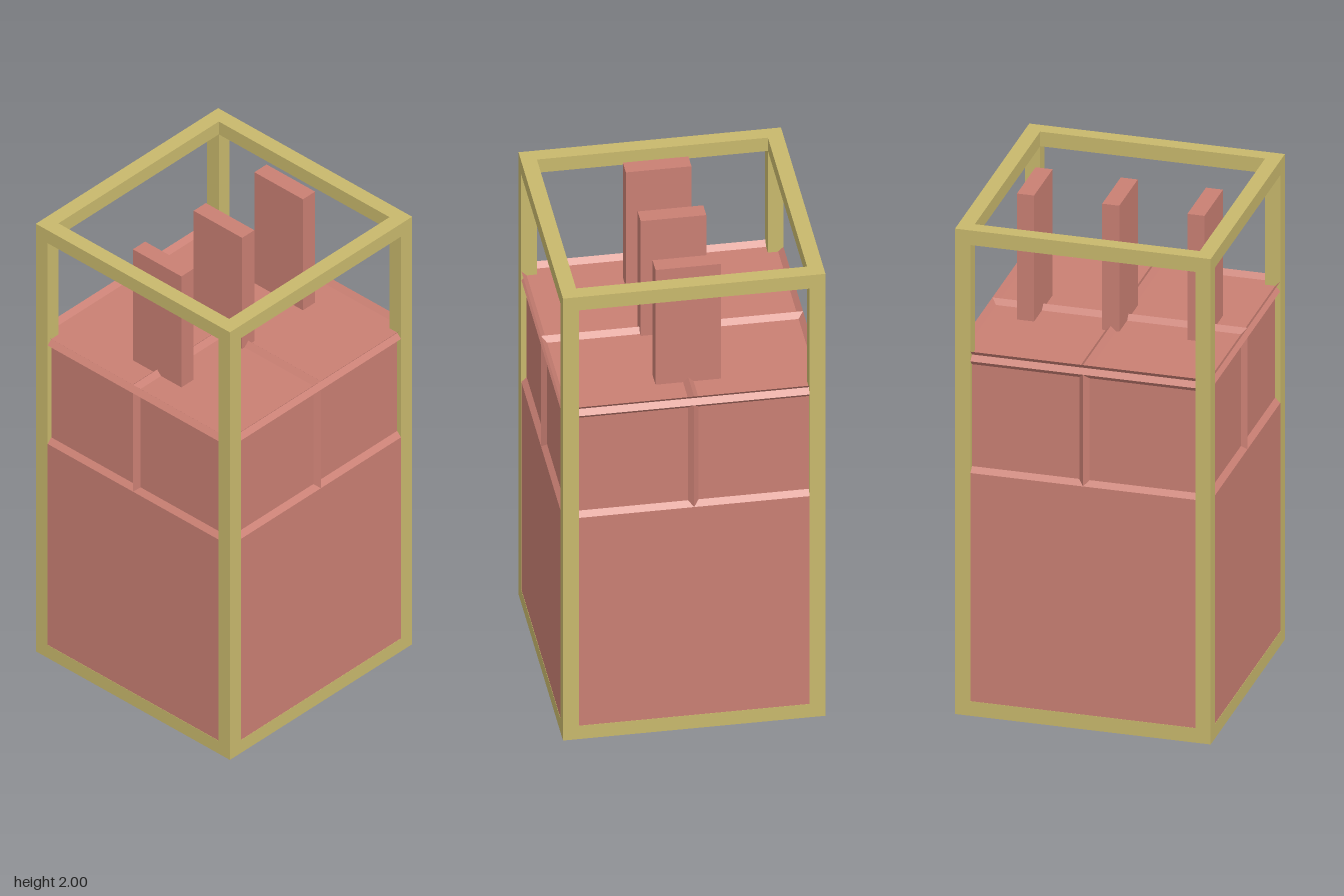
import * as THREE from 'three';

const red = new THREE.MeshStandardMaterial({ color: 0xc97f73 });
red.name = 'clay red';
const olive = new THREE.MeshStandardMaterial({ color: 0xc8b86c });
olive.name = 'olive yellow';

function box(name, material, size, pos) {
  const mesh = new THREE.Mesh(new THREE.BoxGeometry(...size), material);
  mesh.name = name;
  mesh.position.set(...pos);
  return mesh;
}

// Sunken panel facing +z: bevelled border sloping back to a flat floor
function panel(name, w, h, x, y, z, inset = 0.02) {
  const corners = [[-1, -1], [1, -1], [1, 1], [-1, 1]];
  const ring = (d) => corners.map(([sx, sy]) =>
    [x + sx * (w / 2 - d), y + sy * (h / 2 - d), z - d]);
  const outer = ring(0), inner = ring(inset), pts = [];
  const quad = (a, b, c, d) => pts.push(...a, ...b, ...c, ...a, ...c, ...d);
  for (let i = 0; i < 4; i++) {
    const j = (i + 1) % 4;
    quad(outer[i], outer[j], inner[j], inner[i]);
  }
  if (h > 2 * inset) quad(...inner);
  const g = new THREE.BufferGeometry();
  g.setAttribute('position', new THREE.Float32BufferAttribute(pts, 3));
  g.computeVertexNormals();
  const mesh = new THREE.Mesh(g, red);
  mesh.name = name;
  return mesh;
}

export function createModel() {
  const model = new THREE.Group();
  model.name = 'framedBlock';

  // Body: plain lower block with a panelled upper half
  const body = new THREE.Group();
  body.name = 'body';
  body.scale.set(0.998, 1, 0.998);
  body.add(box('lowerBlock', red, [1, 0.999, 1], [0, 0.5005, 0]));
  for (let i = 0; i < 4; i++) {
    const side = new THREE.Group();
    side.name = 'sidePanels';
    side.rotation.y = i * Math.PI / 2;
    side.add(panel('leftHalfPanel', 0.5, 0.46, 0.25, 1.23, 0.5));
    side.add(panel('rightHalfPanel', 0.5, 0.46, -0.25, 1.23, 0.5));
    side.add(panel('rimGroove', 1, 0.04, 0, 1.48, 0.5));
    body.add(side);
  }

  // Four sunken top panels divided by a ridged cross
  const top = new THREE.Group();
  top.name = 'topPanels';
  top.rotation.x = -Math.PI / 2;
  for (const x of [-0.25, 0.25])
    for (const z of [-0.25, 0.25]) top.add(panel('topPanel', 0.5, 0.5, x, z, 1.5));
  body.add(top);
  model.add(body);

  // Three upright slabs
  for (const z of [-1 / 3, 0, 1 / 3])
    model.add(box('uprightSlab', red, [0.25, 0.52, 0.067], [0, 1.739, z]));

  // Square-bar frame along all twelve edges
  const t = 0.06, e = 0.5 - t / 2;
  const frame = new THREE.Group();
  frame.name = 'frame';
  for (const s of [-1, 1]) {
    for (const r of [-1, 1]) frame.add(box('cornerPost', olive, [t, 2 - 2 * t, t], [s * e, 1, r * e]));
    for (const y of [t / 2, 2 - t / 2]) {
      frame.add(box('crossRail', olive, [1, t, t], [0, y, s * e]));
      frame.add(box('sideRail', olive, [t, t, 1 - 2 * t], [s * e, y, 0]));
    }
  }
  model.add(frame);
  return model;
}
